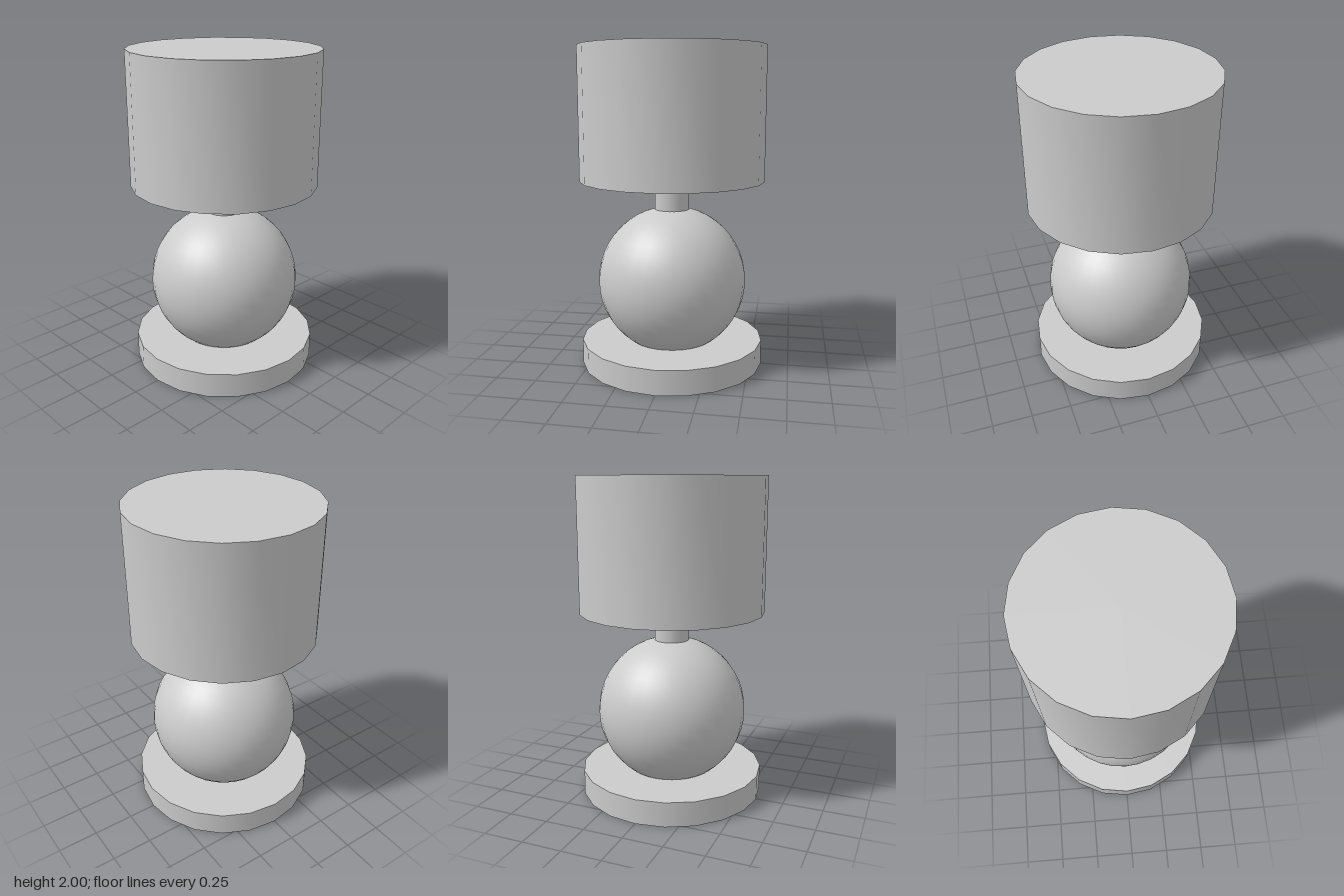
import * as THREE from 'three';
import { toCreasedNormals } from 'three/addons/utils/BufferGeometryUtils.js';

const SIDES = 20;

export function createModel() {
  const model = new THREE.Group();
  model.name = 'tableLamp';
  const material = new THREE.MeshStandardMaterial({ color: 0xcccccc });

  const add = (name, geometry, y = 0) => {
    const mesh = new THREE.Mesh(geometry, material);
    mesh.name = name;
    mesh.position.y = y;
    model.add(mesh);
  };
  const cylinder = (radius, bottom, top) =>
    new THREE.CylinderGeometry(radius, radius, top - bottom, SIDES)
      .translate(0, (top + bottom) / 2, 0);

  // Round foot, ball body and short stem ending just inside the shade
  add('base', cylinder(0.577, 0, 0.155));
  add('body', new THREE.SphereGeometry(0.468, 32, 24), 0.537);
  add('stem', cylinder(0.108, 0.9, 1.25));

  // Hollow drum shade: closed on top, open below, with a thick rim
  const profile = [[0, 1.94], [0.52, 1.94], [0.52, 1.175], [0.577, 1.175], [0.577, 2], [0, 2]]
    .map(([r, y]) => new THREE.Vector2(r, y));
  add('shade', toCreasedNormals(new THREE.LatheGeometry(profile, SIDES), 0.6));

  return model;
}
